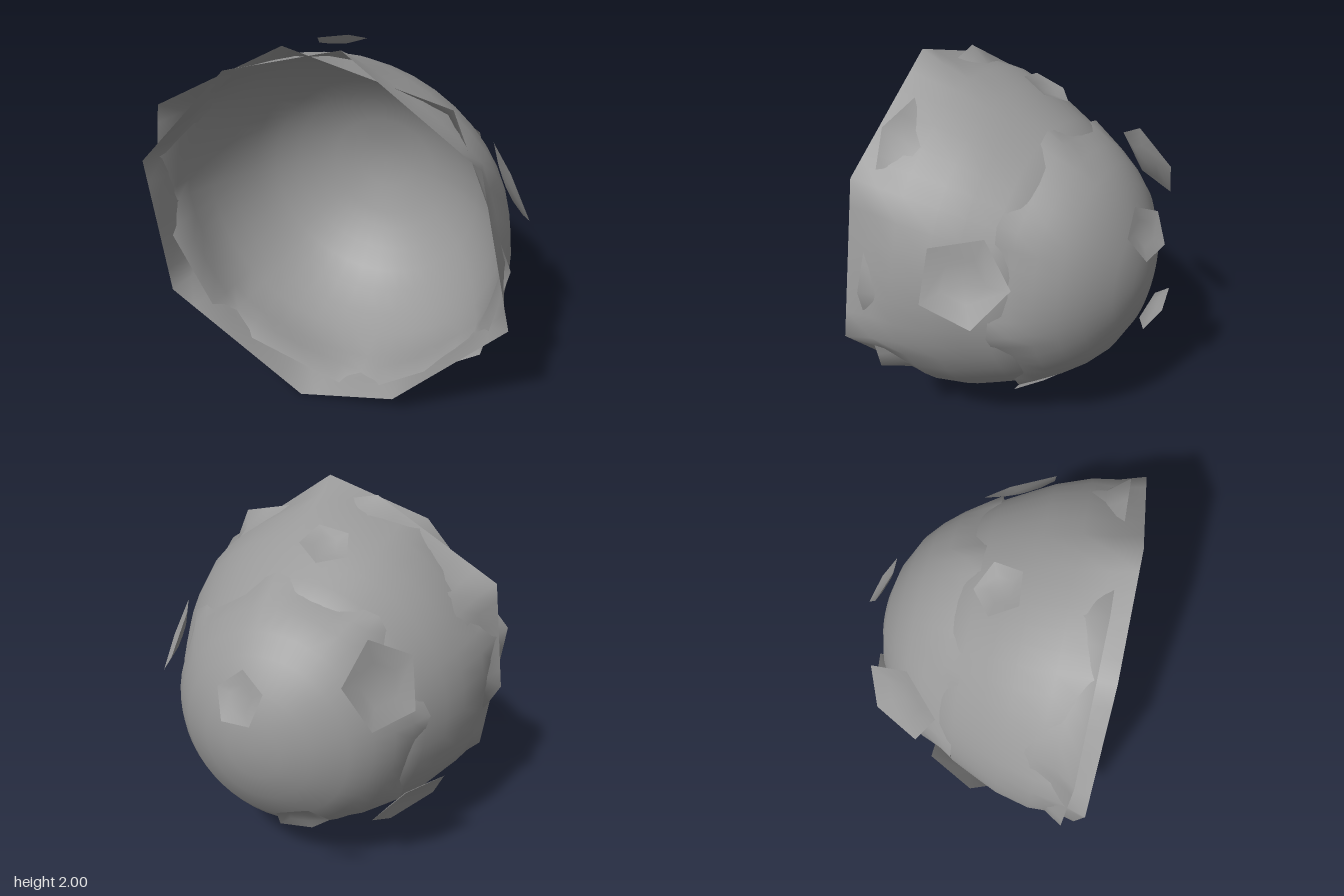
import * as THREE from 'three';

const material = new THREE.MeshStandardMaterial({ color: 0x999999, side: THREE.DoubleSide });

// Height of the bowl axis, sinking slightly toward the back
const axisY = (z) => 0.93 + 0.07 * THREE.MathUtils.clamp((z + 0.1) / 0.75, 0, 1);

// Indexed surface between closed rings, finished by a pole point
function loft(rings, pole) {
  const n = rings[0].length;
  const points = [...rings.flat(), pole];
  const index = [];
  for (let r = 0; r < rings.length - 1; r++) {
    for (let i = 0; i < n; i++) {
      const j = (i + 1) % n;
      const a = r * n + i, b = r * n + j, c = a + n, d = b + n;
      index.push(a, b, c, b, d, c);
    }
  }
  const last = (rings.length - 1) * n;
  for (let i = 0; i < n; i++) index.push(last + i, last + (i + 1) % n, points.length - 1);
  const geometry = new THREE.BufferGeometry().setFromPoints(points);
  geometry.setIndex(index);
  geometry.computeVertexNormals();
  return geometry;
}

// Open bowl: a straight-sided rim that becomes round toward the back
// rows: [z, radius, roundness]
function shell(name, corners, rimZ, rows, poleZ) {
  const steps = 6;
  const rim = [];
  corners.forEach((p, i) => {
    const q = corners[(i + 1) % corners.length];
    for (let k = 0; k < steps; k++) {
      const t = k / steps;
      rim.push(new THREE.Vector3(p[0] + (q[0] - p[0]) * t, p[1] + (q[1] - p[1]) * t, rimZ));
    }
  });
  const rimRadius = Math.max(...rim.map((p) => Math.hypot(p.x, p.y - axisY(rimZ))));
  const rings = rows.map(([z, radius, round]) => rim.map((p) => {
    const dx = p.x, dy = p.y - axisY(rimZ), length = Math.hypot(dx, dy);
    const r = radius * THREE.MathUtils.lerp(length / rimRadius, 1, round);
    return new THREE.Vector3(dx / length * r, axisY(z) + dy / length * r, z);
  }));
  const mesh = new THREE.Mesh(loft([rim, ...rings], new THREE.Vector3(0, 0.93, poleZ)), material);
  mesh.name = name;
  return mesh;
}

// Shallow pentagonal dish, with one corner aimed at a given point
function flake(name, centre, normal, corner, radius) {
  const c = new THREE.Vector3(...centre);
  const w = new THREE.Vector3(...normal).normalize();
  const u = new THREE.Vector3(...corner).sub(c);
  u.addScaledVector(w, -u.dot(w)).normalize();
  const v = new THREE.Vector3().crossVectors(w, u);
  const ring = (scale, lift) => Array.from({ length: 5 }, (_, i) => {
    const a = i * Math.PI * 2 / 5;
    return c.clone().addScaledVector(u, Math.cos(a) * radius * scale)
      .addScaledVector(v, Math.sin(a) * radius * scale)
      .addScaledVector(w, lift * radius);
  });
  const pole = c.clone().addScaledVector(w, -0.1 * radius);
  const mesh = new THREE.Mesh(loft([ring(1, 0.04), ring(0.5, -0.06)], pole), material);
  mesh.name = name;
  return mesh;
}

export function createModel() {
  const group = new THREE.Group();
  group.name = 'layeredBowl';

  // Two large bowls with offset eight-sided rims, the inner one shallower
  group.add(shell('outerShell', [
    [0.14, 2.0], [-0.44, 1.83], [-0.94, 1.28], [-0.86, 0.51],
    [-0.12, 0], [0.40, 0.13], [0.96, 0.73], [0.78, 1.54],
  ], 0.65, [
    [0.52, 0.955, 0.35], [0.38, 0.915, 0.8], [0.2, 0.85, 1], [0.08, 0.795, 1],
    [-0.06, 0.728, 1], [-0.13, 0.682, 1], [-0.2, 0.615, 1], [-0.28, 0.5, 1],
    [-0.36, 0.35, 1], [-0.42, 0.18, 1],
  ], -0.44));
  group.add(shell('innerShell', [
    [0.62, 1.76], [-0.18, 1.95], [-0.87, 1.56], [-0.96, 0.96],
    [-0.62, 0.28], [0.17, 0.03], [0.82, 0.48], [0.93, 1.0],
  ], 0.56, [
    [0.46, 0.94, 0.35], [0.35, 0.895, 0.8], [0.2, 0.825, 1], [0.08, 0.77, 1],
    [-0.06, 0.688, 1], [-0.16, 0.6, 1], [-0.24, 0.5, 1], [-0.3, 0.4, 1],
    [-0.345, 0.3, 1], [-0.386, 0.15, 1],
  ], -0.4));

  // Smaller cap over the back
  const capCorners = Array.from({ length: 8 }, (_, i) => {
    const a = (36 + i * 45) * Math.PI / 180;
    return [0.755 * Math.cos(a), axisY(-0.06) + 0.755 * Math.sin(a)];
  });
  group.add(shell('backCap', capCorners, -0.06, [
    [-0.15, 0.7, 0.4], [-0.25, 0.635, 0.9], [-0.35, 0.555, 1],
    [-0.44, 0.46, 1], [-0.53, 0.3, 1], [-0.575, 0.15, 1],
  ], -0.585));

  // Loose flakes around the outside
  const flakes = [
    ['topFlake', [-0.1, 1.82, 0.06], [-0.2, 0.88, -0.43], [-0.1, 1.76, -0.06], 0.135],
    ['leftFlake', [0.8, 1.15, 0.02], [0.82, 0.39, -0.43], [0.94, 1.05, 0.19], 0.23],
    ['upperRightFlake', [-0.57, 1.32, -0.33], [-0.6, 0.32, -0.38], [-0.46, 1.38, -0.54], 0.23],
    ['backFlake', [0.06, 1.22, -0.59], [0.2, 0.43, -0.88], [0.07, 1.36, -0.53], 0.148],
    ['lowerBackFlake', [-0.25, 0.575, -0.54], [-0.25, -0.48, -0.65], [-0.41, 0.59, -0.47], 0.145],
    ['lowerRightFlake', [-0.65, 0.48, -0.025], [-0.64, -0.47, -0.35], [-0.82, 0.65, 0.06], 0.24],
    ['bottomFlake', [0.24, 0.222, -0.065], [0.25, -0.62, -0.42], [0.13, 0.3, -0.2], 0.165],
  ];
  for (const f of flakes) group.add(flake(...f));
  return group;
}
